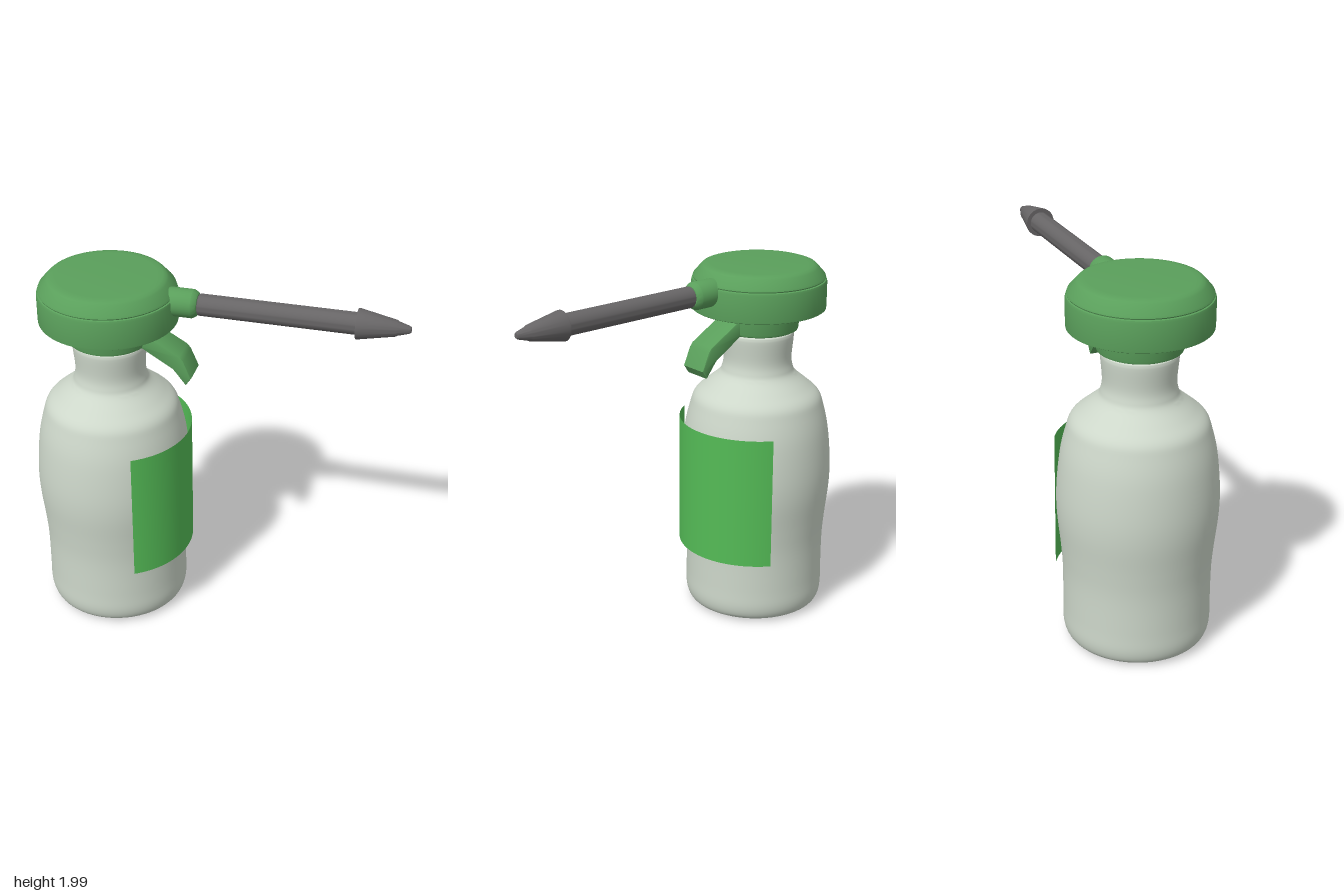
import * as THREE from 'three';
import { toCreasedNormals } from 'three/addons/utils/BufferGeometryUtils.js';

const AXIS_X = -0.58; // bottle axis

const mat = (name, color, extra = {}) => {
  const m = new THREE.MeshStandardMaterial({ color, ...extra });
  m.name = name;
  return m;
};
const vec = (pts) => pts.map(([x, y]) => new THREE.Vector2(x, y));

// Turned part; edges sharper than 30 degrees stay crisp
const turned = (pts, segments = 64) =>
  toCreasedNormals(new THREE.LatheGeometry(vec(pts), segments), 0.52);

export function createModel() {
  const shell = mat('bottle grey', 0xcdd7ca);
  const capGreen = mat('cap green', 0x5a9f5b);
  const labelGreen = mat('label green', 0x54bb56, { side: THREE.DoubleSide });
  const tubeGrey = mat('tube grey', 0x676566);

  const group = new THREE.Group();
  const add = (name, geo, material, x = AXIS_X, y = 0) => {
    const mesh = new THREE.Mesh(geo, material);
    mesh.name = name;
    mesh.position.set(x, y, 0);
    group.add(mesh);
    return mesh;
  };

  // Bottle: smooth curve from rounded foot, over waist and belly, to neck
  const side = new THREE.SplineCurve(vec([
    [0.335, 0.005], [0.37, 0.03], [0.388, 0.09], [0.388, 0.2], [0.389, 0.4], [0.4, 0.55],
    [0.418, 0.73], [0.418, 0.88], [0.4, 1.06], [0.37, 1.19], [0.345, 1.255], [0.285, 1.31],
    [0.215, 1.37], [0.195, 1.41], [0.187, 1.47], [0.197, 1.59], [0.19, 1.615], [0.17, 1.625],
  ])).getPoints(85).map((p) => [p.x, p.y]);
  add('bottle', turned([[0, 0], [0.325, 0], ...side, [0, 1.63]]), shell);

  // Label: curved open sheet on the +x side
  const arc = 2 * Math.PI / 3;
  add('label', new THREE.CylinderGeometry(0.43, 0.43, 0.74, 40, 1, true, Math.PI / 2 - arc / 2, arc),
    labelGreen, AXIS_X, 0.745);

  // Collar, cap body and cap lid
  add('collar', turned([
    [0, 1.622], [0.205, 1.622], [0.217, 1.628], [0.221, 1.64], [0.223, 1.75], [0, 1.75],
  ]), capGreen);
  add('capBody', turned([
    [0, 1.743], [0.36, 1.743], [0.367, 1.747], [0.368, 1.755], [0.368, 1.895],
    [0.364, 1.907], [0.352, 1.911], [0, 1.911],
  ]), capGreen);
  add('capLid', turned([
    [0, 1.911], [0.358, 1.911], [0.361, 1.917], [0.357, 1.927], [0.318, 1.971],
    [0.308, 1.98], [0.29, 1.986], [0.26, 1.988], [0, 1.988],
  ]), capGreen);

  // Nozzle parts are turned about the x axis
  const alongX = (name, pts, material) =>
    add(name, turned(pts.map(([x, r]) => [r, x]), 40).rotateZ(-Math.PI / 2), material, 0, 1.88);
  alongX('nozzleSocket', [
    [-0.32, 0], [-0.32, 0.07], [-0.235, 0.075], [-0.12, 0.075], [-0.1, 0.064], [-0.093, 0.055], [-0.093, 0],
  ], capGreen);
  alongX('nozzleTube', [[-0.1, 0], [-0.092, 0.05], [-0.086, 0.057], [0.74, 0.057], [0.74, 0]], tubeGrey);
  alongX('nozzleTip', [
    [0.728, 0], [0.728, 0.079], [0.735, 0.079], [0.925, 0.042], [0.935, 0.036],
    [0.99, 0.02], [1, 0.013], [1, 0],
  ], tubeGrey);

  // Trigger: bent lever with a small bevel
  const lever = new THREE.Shape(vec([
    [-0.42, 1.645], [-0.375, 1.63], [-0.21, 1.53], [-0.195, 1.513], [-0.145, 1.447],
    [-0.122, 1.482], [-0.162, 1.575], [-0.18, 1.597], [-0.37, 1.706], [-0.42, 1.725],
  ]));
  const leverGeo = new THREE.ExtrudeGeometry(lever, {
    depth: 0.144, bevelEnabled: true, bevelSize: 0.007, bevelThickness: 0.008, bevelSegments: 2,
  }).translate(0, 0, -0.072);
  add('trigger', toCreasedNormals(leverGeo, 0.6), capGreen, 0, 0);

  return group;
}
